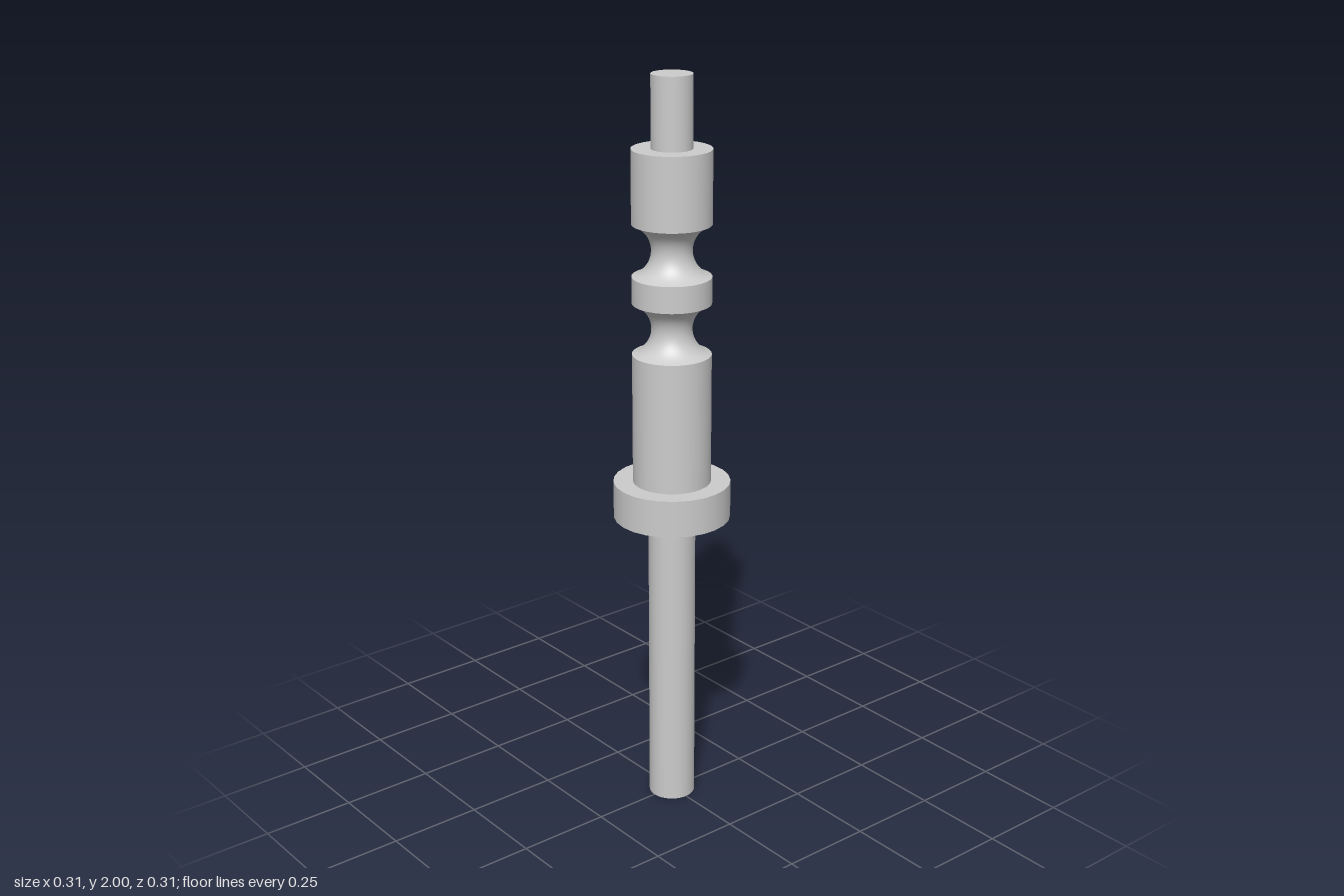
import * as THREE from 'three';

const material = new THREE.MeshStandardMaterial({ color: 0xcccccc });
const SHAFT = 0.103; // main body radius
const NECK = 0.053; // tip and groove-bottom radius

function addMesh(group, name, geometry) {
  const mesh = new THREE.Mesh(geometry, material);
  mesh.name = name;
  group.add(mesh);
  return mesh;
}

// Upright cylinder between two heights
function addCylinder(group, name, radius, y0, y1, sides = 64) {
  const geometry = new THREE.CylinderGeometry(radius, radius, y1 - y0, sides, 1, false, Math.PI);
  addMesh(group, name, geometry).position.y = (y0 + y1) / 2;
}

// Concave neck whose profile is a circular arc
function addGroove(group, name, y0, y1) {
  const half = (y1 - y0) / 2;
  const depth = SHAFT - NECK;
  const arc = (half * half + depth * depth) / (2 * depth);
  const sweep = Math.asin(half / arc);
  const points = [];
  for (let i = 0; i <= 20; i++) {
    const a = sweep * (i / 10 - 1);
    points.push(new THREE.Vector2(NECK + arc * (1 - Math.cos(a)), arc * Math.sin(a)));
  }
  addMesh(group, name, new THREE.LatheGeometry(points, 64)).position.y = (y0 + y1) / 2;
}

export function createModel() {
  const group = new THREE.Group();
  group.name = 'groovedPin';

  addCylinder(group, 'lowerRod', 0.0625, 0, 0.832);
  addCylinder(group, 'collar', 0.155, 0.832, 0.932, 25);
  addCylinder(group, 'body', SHAFT, 0.932, 1.282);
  addGroove(group, 'lowerGroove', 1.282, 1.418);
  addCylinder(group, 'middleRing', SHAFT, 1.418, 1.488);
  addGroove(group, 'upperGroove', 1.488, 1.624);
  addCylinder(group, 'head', SHAFT, 1.624, 1.815);
  addCylinder(group, 'tip', NECK, 1.815, 2);

  return group;
}
